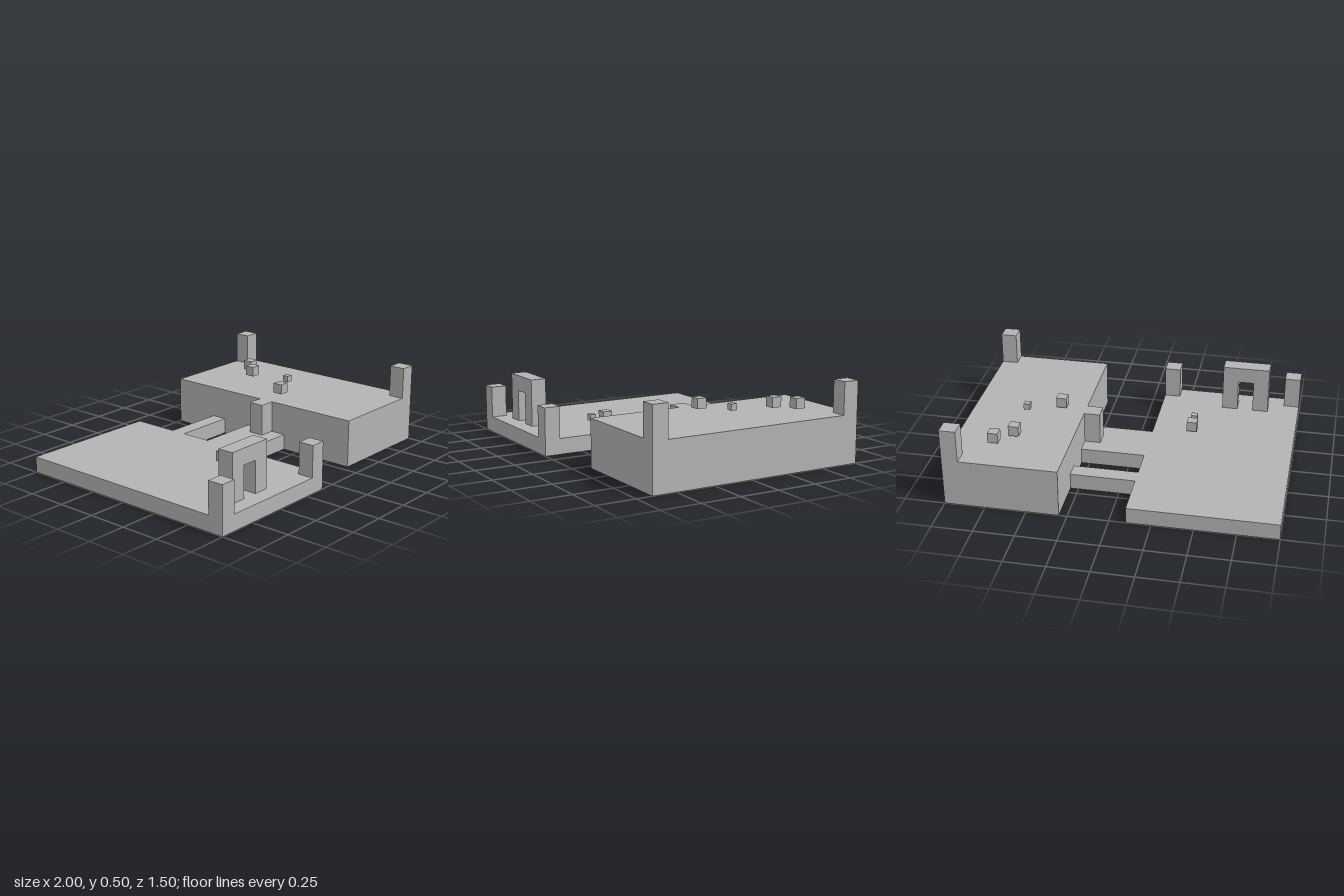
import * as THREE from 'three';

export function createModel() {
  const model = new THREE.Group();
  model.name = 'platformLevel';
  const grey = new THREE.MeshStandardMaterial({ color: 0xb3b3b3 });
  grey.name = 'plain grey';

  // Box given by its extents along each axis
  function block(name, [x0, x1], [y0, y1], [z0, z1]) {
    const mesh = new THREE.Mesh(new THREE.BoxGeometry(x1 - x0, y1 - y0, z1 - z0), grey);
    mesh.position.set((x0 + x1) / 2, (y0 + y1) / 2, (z0 + z1) / 2);
    mesh.name = name;
    model.add(mesh);
  }

  // Two decks at different heights
  block('lowDeck', [-1, -0.1], [0, 0.1], [-0.75, 0.75]);
  block('highDeck', [0.3, 1], [0, 0.3], [-0.75, 0.65]);

  // Bridges joining the decks, and the step block on the wide one
  block('narrowBridge', [-0.1, 0.3], [0, 0.1], [-0.45, -0.35]);
  block('wideBridge', [-0.1, 0.3], [0, 0.1], [-0.15, 0.15]);
  block('stepBlock', [0.2, 0.3], [0.1, 0.3], [-0.05, 0.05]);

  // Corner posts
  for (const x of [-1, -0.2]) block('lowDeckPost', [x, x + 0.1], [0.1, 0.3], [0.65, 0.75]);
  for (const z of [-0.75, 0.55]) block('highDeckPost', [0.9, 1], [0.3, 0.5], [z, z + 0.1]);

  // Gateway: one outline with the doorway cut from the bottom
  const outline = [[-0.8, 0.1], [-0.7, 0.1], [-0.7, 0.3], [-0.6, 0.3],
    [-0.6, 0.1], [-0.5, 0.1], [-0.5, 0.4], [-0.8, 0.4]];
  const shape = new THREE.Shape(outline.map(([x, y]) => new THREE.Vector2(x, y)));
  const gate = new THREE.Mesh(
    new THREE.ExtrudeGeometry(shape, { depth: 0.1, bevelEnabled: false }), grey);
  gate.position.z = 0.55;
  gate.name = 'gateway';
  model.add(gate);

  // Small cubes hovering above the decks: x, y, z, size
  const cubes = [
    [-0.35, 0.15, 0.2, 0.064], [-0.35, 0.15, 0.3, 0.04],
    [0.45, 0.35, 0, 0.064], [0.65, 0.35, -0.1, 0.04],
    [0.65, 0.35, -0.4, 0.064], [0.75, 0.35, -0.5, 0.064],
  ];
  for (const [x, y, z, s] of cubes) {
    const h = s / 2;
    block('hoveringCube', [x - h, x + h], [y - h, y + h], [z - h, z + h]);
  }

  return model;
}
